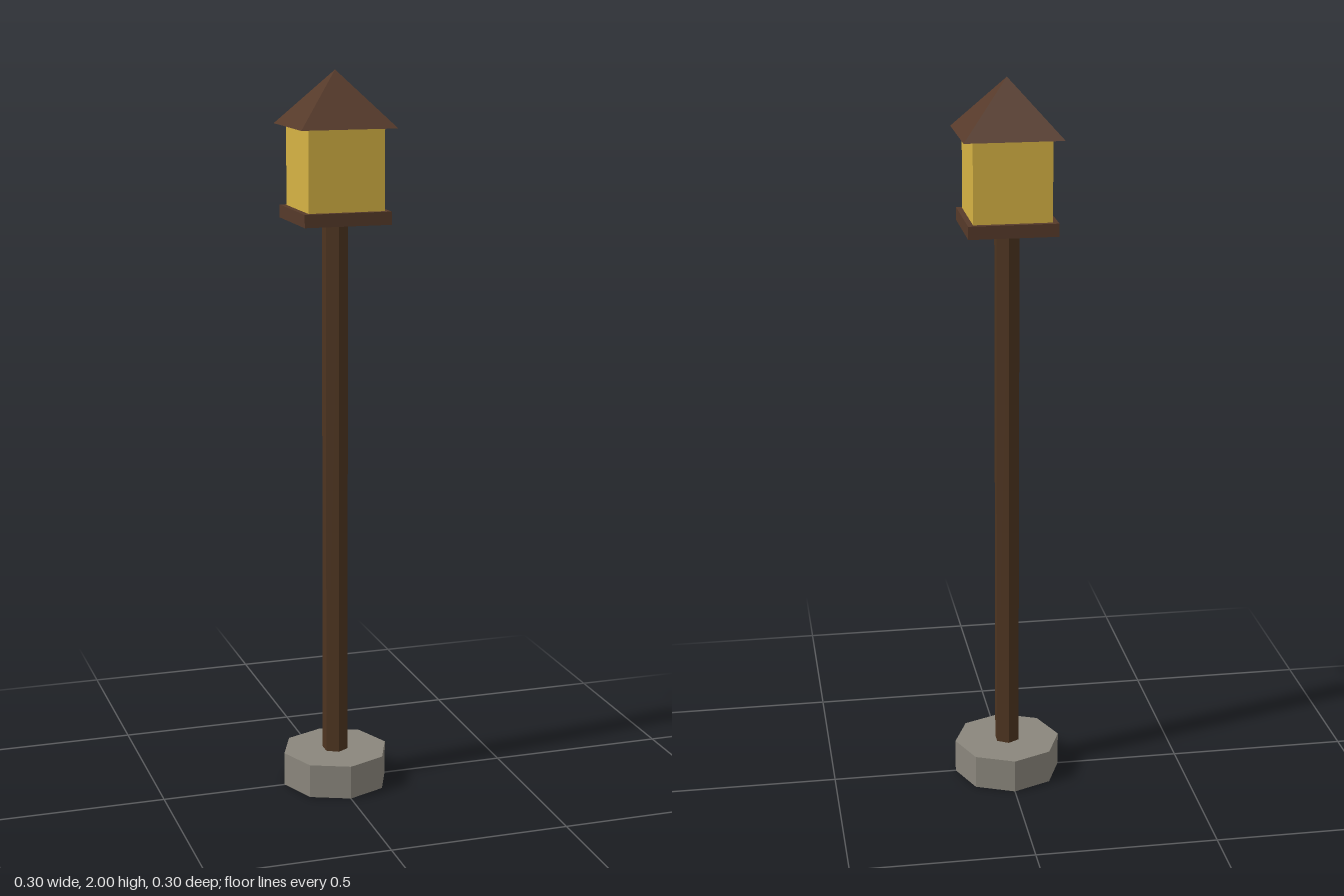
import * as THREE from 'three';

const material = (name, color) => {
  const m = new THREE.MeshStandardMaterial({ color, flatShading: true });
  m.name = name;
  return m;
};

export function createModel() {
  const stone = material('stone', 0x8a867c);
  const postWood = material('post wood', 0x4d3420);
  const roofWood = material('roof wood', 0x563a2a);
  const glow = material('lamp glow', 0xd6b344);

  const lantern = new THREE.Group();
  lantern.name = 'lanternPost';

  // Each part is placed by the height of its underside
  const add = (name, geometry, mat, bottom, height) => {
    const mesh = new THREE.Mesh(geometry, mat);
    mesh.name = name;
    mesh.position.y = bottom + height / 2;
    lantern.add(mesh);
  };

  // Octagonal footing and hexagonal post
  add('base', new THREE.CylinderGeometry(0.15, 0.15, 0.095, 8), stone, 0, 0.095);
  add('post', new THREE.CylinderGeometry(0.036, 0.036, 1.505, 6), postWood, 0.095, 1.505);

  // Lamp housing: tray and glowing box
  add('tray', new THREE.BoxGeometry(0.24, 0.035, 0.24), roofWood, 1.6, 0.035);
  add('lamp', new THREE.BoxGeometry(0.21, 0.22, 0.21), glow, 1.635, 0.22);

  // Square pyramid roof, turned so its sides face the axes
  const roof = new THREE.ConeGeometry(0.132 * Math.SQRT2, 0.147, 4);
  roof.rotateY(Math.PI / 4);
  add('roof', roof, roofWood, 1.853, 0.147);

  return lantern;
}
